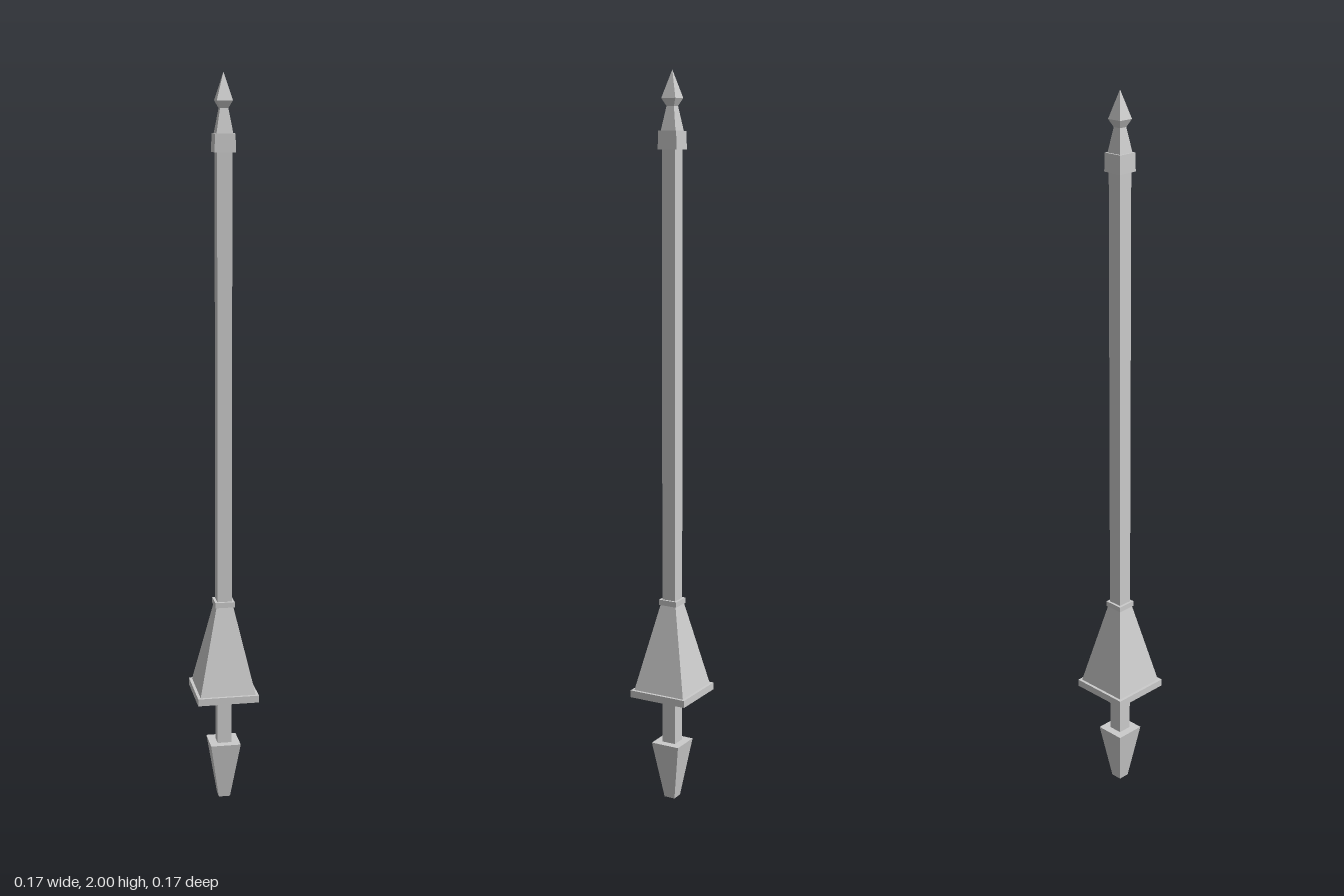
import * as THREE from 'three';

const material = new THREE.MeshStandardMaterial({ color: 0xcccccc, flatShading: true });

// Square frustum from y0 to y1, given the half-widths at its bottom and top
function frustum(name, y0, y1, half0, half1, open = false) {
  const geometry = new THREE.CylinderGeometry(
    half1 * Math.SQRT2, half0 * Math.SQRT2, y1 - y0, 4, 1, open);
  geometry.rotateY(Math.PI / 4);
  geometry.translate(0, (y0 + y1) / 2, 0);
  const mesh = new THREE.Mesh(geometry, material);
  mesh.name = name;
  return mesh;
}

export function createModel() {
  const lance = new THREE.Group();
  lance.name = 'lance';

  // Butt end and the shaft running through the guard
  lance.add(frustum('pommel', 0, 0.165, 0.016, 0.042));
  lance.add(frustum('shaft', 0.16, 1.8, 0.02, 0.02));

  // Flared hand guard: plate, tapering body, small collar
  const guard = new THREE.Group();
  guard.name = 'handGuard';
  guard.add(frustum('guardPlate', 0.305, 0.325, 0.085, 0.085));
  guard.add(frustum('guardBody', 0.325, 0.568, 0.077, 0.023, true));
  guard.add(frustum('guardCollar', 0.565, 0.58, 0.027, 0.027));
  lance.add(guard);

  // Head: collar, narrowing neck and pointed tip
  const head = new THREE.Group();
  head.name = 'head';
  head.add(frustum('headCollar', 1.797, 1.845, 0.028, 0.027));
  head.add(frustum('neck', 1.845, 1.908, 0.022, 0.011, true));
  head.add(frustum('tipBase', 1.908, 1.928, 0.011, 0.021, true));
  head.add(frustum('tip', 1.928, 2, 0.021, 0, true));
  lance.add(head);

  return lance;
}
